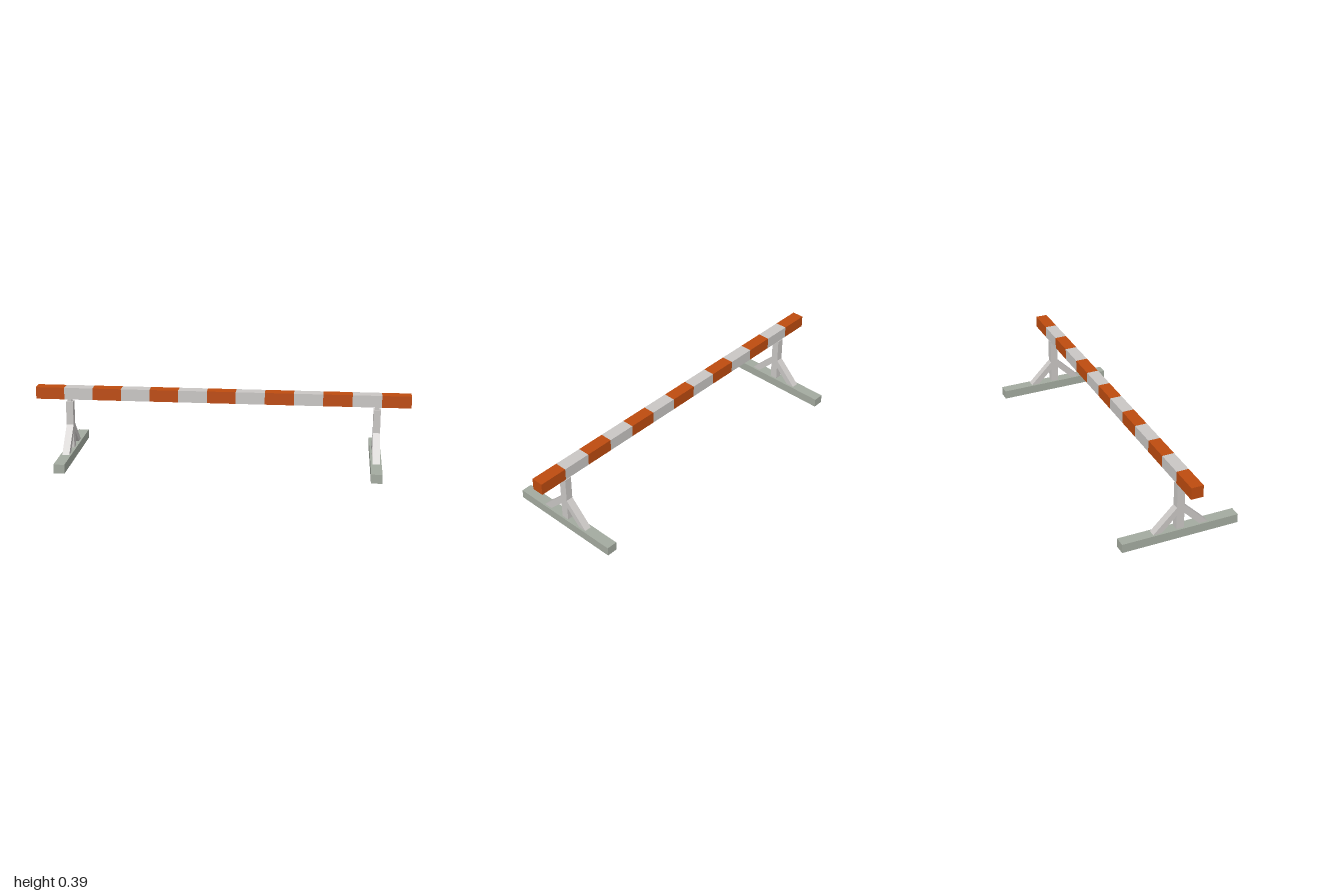
import * as THREE from 'three';

const orange = new THREE.MeshStandardMaterial({ color: 0xbd4b0f });
orange.name = 'orange';
const lightGrey = new THREE.MeshStandardMaterial({ color: 0xc9c6c4 });
lightGrey.name = 'lightGrey';
const greenGrey = new THREE.MeshStandardMaterial({ color: 0xa3aa9f });
greenGrey.name = 'greenGrey';

const BASE_TOP = 0.048, POST_TOP = 0.304, BEAM_BOTTOM = 0.322, BEAM = 0.064;

// Box spanning y0..y1, centred on x and z
function box(name, w, y0, y1, d, material) {
  const mesh = new THREE.Mesh(new THREE.BoxGeometry(w, y1 - y0, d), material);
  mesh.position.y = (y0 + y1) / 2;
  mesh.name = name;
  return mesh;
}

// Diagonal strut from the base to the post; foot is its outer reach along z
function brace(name, side, foot) {
  const width = 0.038, thick = 0.046, inner = 0.02;
  const rise = foot - inner;
  const points = [
    [foot, BASE_TOP], [inner, BASE_TOP + rise],
    [inner, BASE_TOP + rise - thick], [foot - thick, BASE_TOP],
  ].map(([z, y]) => new THREE.Vector2(-side * z, y));
  const geo = new THREE.ExtrudeGeometry(new THREE.Shape(points), { depth: width, bevelEnabled: false });
  geo.translate(0, 0, -width / 2).rotateY(Math.PI / 2);
  const mesh = new THREE.Mesh(geo, lightGrey);
  mesh.name = name;
  return mesh;
}

// Stand: foot beam, post, neck and two braces
function stand(name, x) {
  const group = new THREE.Group();
  group.name = name;
  group.position.x = x;
  group.add(
    box('base', 0.058, 0, BASE_TOP, 0.63, greenGrey),
    box('post', 0.038, BASE_TOP, POST_TOP, 0.041, lightGrey),
    box('neck', 0.023, POST_TOP, BEAM_BOTTOM, 0.023, lightGrey),
    brace('frontBrace', 1, 0.151),
    brace('backBrace', -1, 0.145),
  );
  return group;
}

// Bar with alternating stripes, one material group per face segment
function stripedBeam() {
  const stripes = 13;
  const beam = box('stripedBeam', 2, BEAM_BOTTOM, BEAM_BOTTOM + BEAM, BEAM, [orange, lightGrey]);
  beam.geometry = new THREE.BoxGeometry(2, BEAM, BEAM, stripes, 1, 1);
  beam.geometry.clearGroups();
  for (let i = 0; i < 2 + 4 * stripes; i++) {
    const colour = i < 2 ? 0 : ((i - 2) % stripes) % 2; // first two quads are the end caps
    beam.geometry.addGroup(i * 6, 6, colour);
  }
  return beam;
}

export function createModel() {
  const model = new THREE.Group();
  model.name = 'barrier';
  model.add(stand('leftStand', 0.823), stand('rightStand', -0.823), stripedBeam());
  return model;
}
